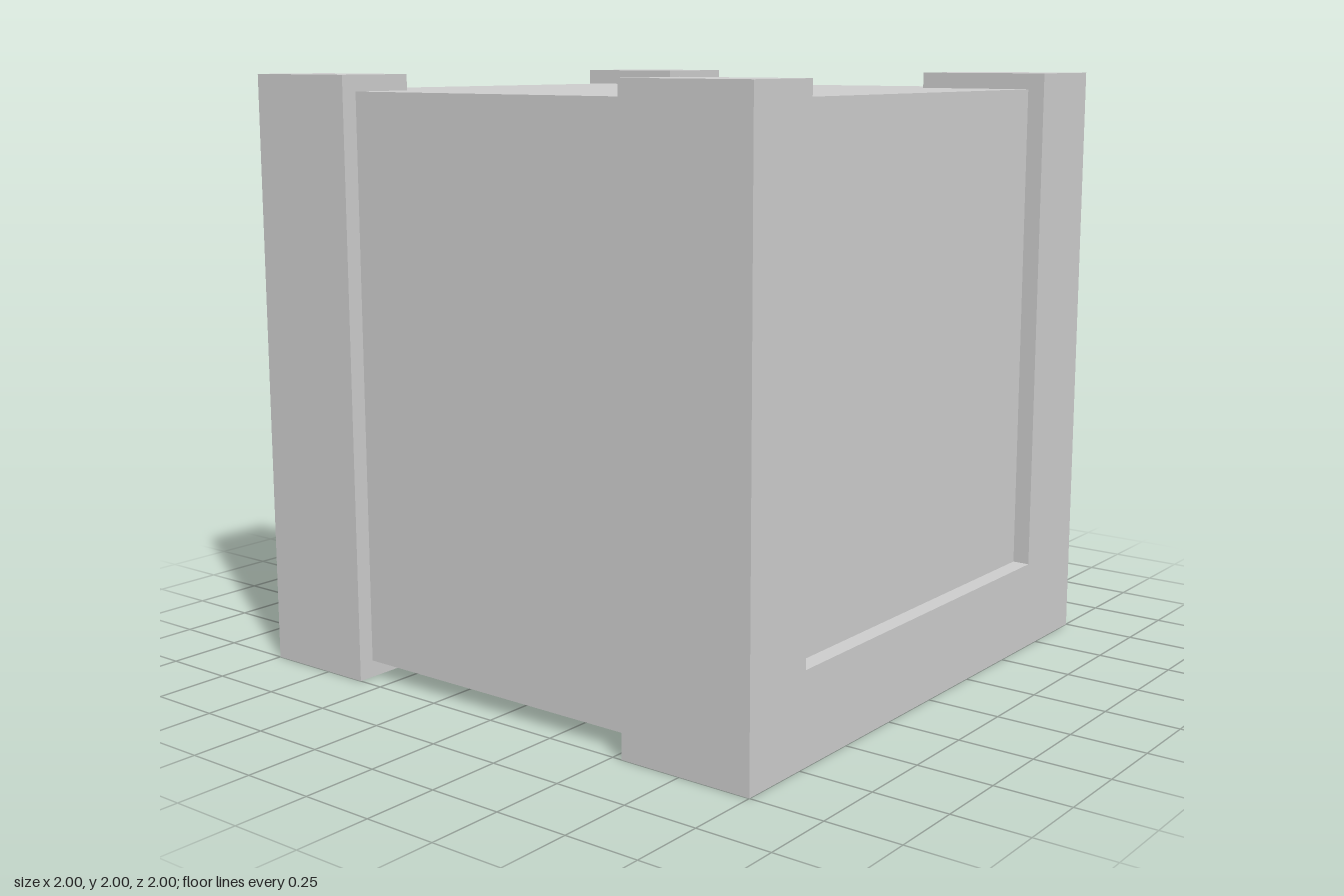
import * as THREE from 'three';

export function createModel() {
  const model = new THREE.Group();
  const material = new THREE.MeshStandardMaterial({ color: 0xcccccc, flatShading: true });

  // box given by its two extreme corners
  function block(name, [x0, y0, z0], [x1, y1, z1]) {
    const mesh = new THREE.Mesh(new THREE.BoxGeometry(x1 - x0, y1 - y0, z1 - z0), material);
    mesh.position.set((x0 + x1) / 2, (y0 + y1) / 2, (z0 + z1) / 2);
    mesh.name = name;
    model.add(mesh);
  }

  // main crate body
  block('body', [-0.945, 0.057, -0.945], [0.942, 1.947, 0.942]);

  // four corner posts, standing proud of the body on every side
  const spansX = { Right: [-1, -0.72], Left: [0.68, 1] };
  const spansZ = { front: [0.535, 1], back: [-1, -0.593] };
  for (const [end, [z0, z1]] of Object.entries(spansZ)) {
    for (const [side, [x0, x1]] of Object.entries(spansX)) {
      block(`${end}${side}Post`, [x0, 0, z0], [x1, 2, z1]);
    }
  }

  // front bottom rail: slopes underneath from the body up to its front edge
  const profile = new THREE.Shape();
  profile.moveTo(-0.942, 0.057);
  profile.lineTo(-0.942, 0.3);
  profile.lineTo(-1, 0.3);
  profile.lineTo(-1, 0);
  profile.closePath();
  const railGeometry = new THREE.ExtrudeGeometry(profile, { depth: 1.4, bevelEnabled: false });
  railGeometry.rotateY(Math.PI / 2); // profile -x becomes +z, depth runs along +x
  const rail = new THREE.Mesh(railGeometry, material);
  rail.position.x = -0.72;
  rail.name = 'frontRail';
  model.add(rail);

  return model;
}
